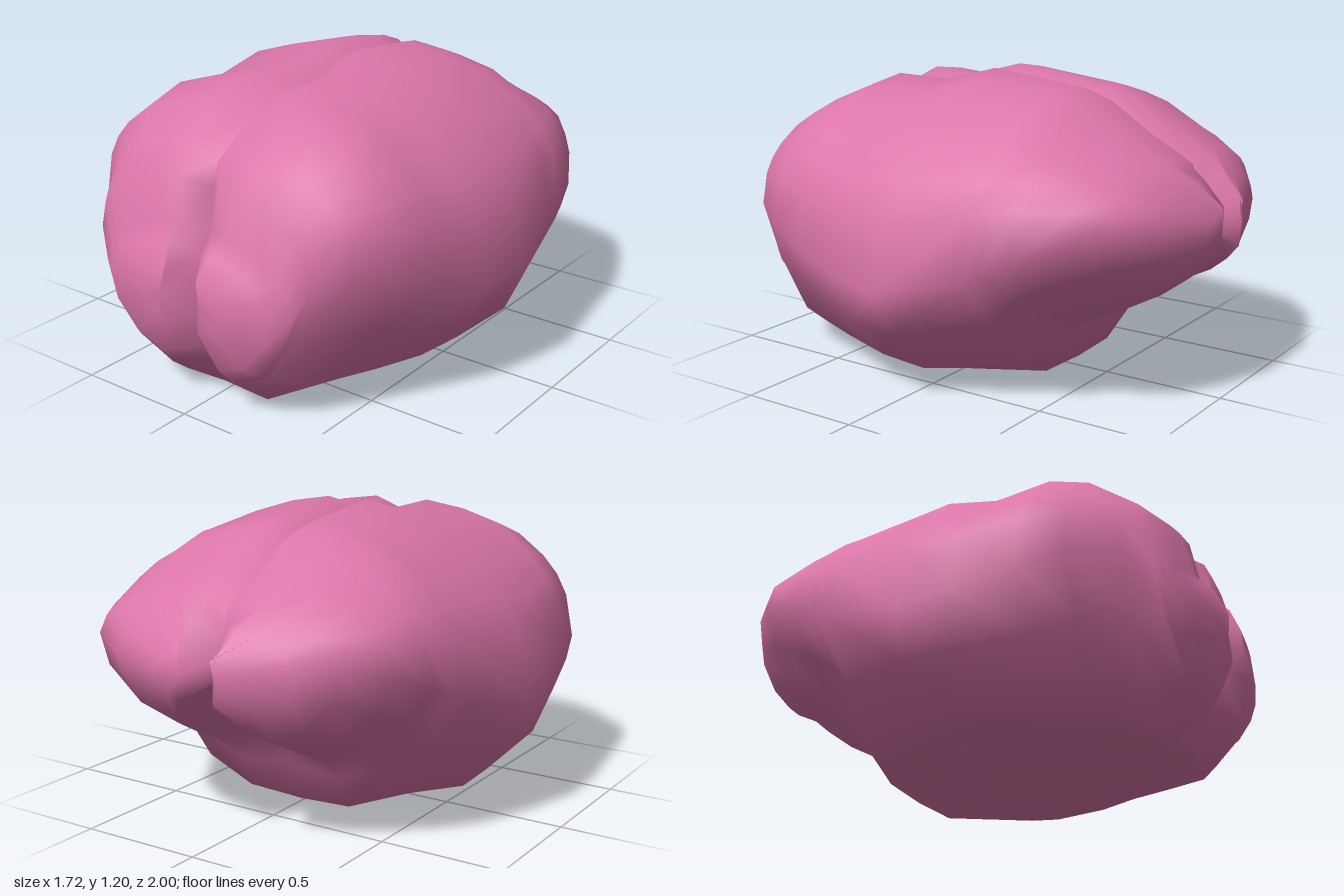
import * as THREE from 'three';

// Cross-sections front to back: z, left width, right width, top y, bottom y,
// y of widest point, crown roundness, underside taper, rise of the fissure below
const SECTIONS = [
  [1.0, 0.2, 0.16, 0.56, 0.36, 0.46, 1, 1, 0.02],
  [0.96, 0.38, 0.39, 0.66, 0.21, 0.46, 1, 1, 0.02],
  [0.9, 0.44, 0.47, 0.72, 0.14, 0.47, 0.9, 0.97, 0.02],
  [0.87, 0.5, 0.52, 0.89, 0.11, 0.59, 0.75, 0.95, 0.02],
  [0.77, 0.62, 0.58, 0.98, 0.03, 0.65, 0.65, 0.92, 0.01],
  [0.62, 0.71, 0.75, 1.07, 0.02, 0.6, 0.65, 0.9, 0.01],
  [0.45, 0.77, 0.8, 1.15, 0.01, 0.54, 0.8, 0.92, 0.01],
  [0.22, 0.82, 0.85, 1.14, 0.0, 0.48, 0.95, 0.97, 0.02],
  [0.0, 0.86, 0.86, 1.2, 0.0, 0.46, 1, 0.97, 0.02],
  [-0.35, 0.79, 0.78, 1.16, 0.04, 0.54, 1, 0.82, -0.01],
  [-0.42, 0.78, 0.76, 1.15, 0.18, 0.58, 1, 0.82, 0.02],
  [-0.53, 0.75, 0.73, 1.11, 0.28, 0.63, 1, 0.87, 0.1],
  [-0.7, 0.66, 0.68, 1.0, 0.36, 0.7, 0.95, 0.95, 0.17],
  [-0.83, 0.57, 0.54, 0.93, 0.43, 0.73, 0.9, 1, 0.18],
  [-0.92, 0.41, 0.4, 0.85, 0.5, 0.7, 1, 1, 0.15],
  [-1.0, 0.16, 0.14, 0.76, 0.58, 0.67, 1, 1, 0.06],
];

// Half outline from crest to underside: fraction of width, fraction of height
const OUTLINE = [
  [0.1, 1], [0.3, 0.96], [0.52, 0.88], [0.72, 0.7], [0.84, 0.55], [0.93, 0.37],
  [1, 0], [0.93, -0.4], [0.68, -0.82], [0.37, -1],
];

function hemisphere(side, material) {
  const pos = [], index = [];
  const n = OUTLINE.length + 2;
  const tri = (a, b, c) => (side > 0 ? index.push(a, b, c) : index.push(a, c, b));

  for (const [z, left, right, top, bottom, mid, round, taper, rise] of SECTIONS) {
    const w = side > 0 ? left : right;
    // The dividing fissure drifts sideways and cuts in at both ends
    const fissureX = -0.02 + 0.03 * z;
    const fissureZ = Math.abs(z) > 0.86 ? z * 0.92 : z;
    const dip = Math.min(0.045, (top - mid) * 0.5);
    pos.push(fissureX, top - dip, fissureZ);
    for (const [fx, fy] of OUTLINE) {
      const y = mid + fy * (fy > 0 ? top - mid : mid - bottom);
      const x = Math.max(0.08, w * (fy < 0 ? fx * taper : fx ** round));
      pos.push(side * x + fissureX * (1 - fx), y, z);
    }
    pos.push(fissureX, bottom + rise, fissureZ);
  }

  // Skin between neighbouring sections, open along the fissure
  for (let i = 0; i < SECTIONS.length - 1; i++) {
    for (let j = 0; j < n - 1; j++) {
      const a = i * n + j, b = a + 1, c = a + n, d = b + n;
      tri(a, b, c);
      tri(b, d, c);
    }
  }

  // Rounded ends
  const last = (SECTIONS.length - 1) * n;
  const front = pos.length / 3;
  pos.push(side * 0.1, 0.46, 1.0, side * 0.08 - 0.04, 0.67, -1.0);
  for (let j = 0; j < n; j++) {
    const k = (j + 1) % n;
    tri(front, k, j);
    tri(front + 1, last + j, last + k);
  }

  const geo = new THREE.BufferGeometry();
  geo.setAttribute('position', new THREE.Float32BufferAttribute(pos, 3));
  geo.setIndex(index);
  geo.computeVertexNormals();
  return new THREE.Mesh(geo, material);
}

export function createModel() {
  const group = new THREE.Group();
  group.name = 'brain';
  const pink = new THREE.MeshStandardMaterial({ color: 0xdb76a8 });
  pink.name = 'brain pink';
  for (const side of [1, -1]) {
    const mesh = hemisphere(side, pink);
    mesh.name = side > 0 ? 'leftHemisphere' : 'rightHemisphere';
    group.add(mesh);
  }
  return group;
}
